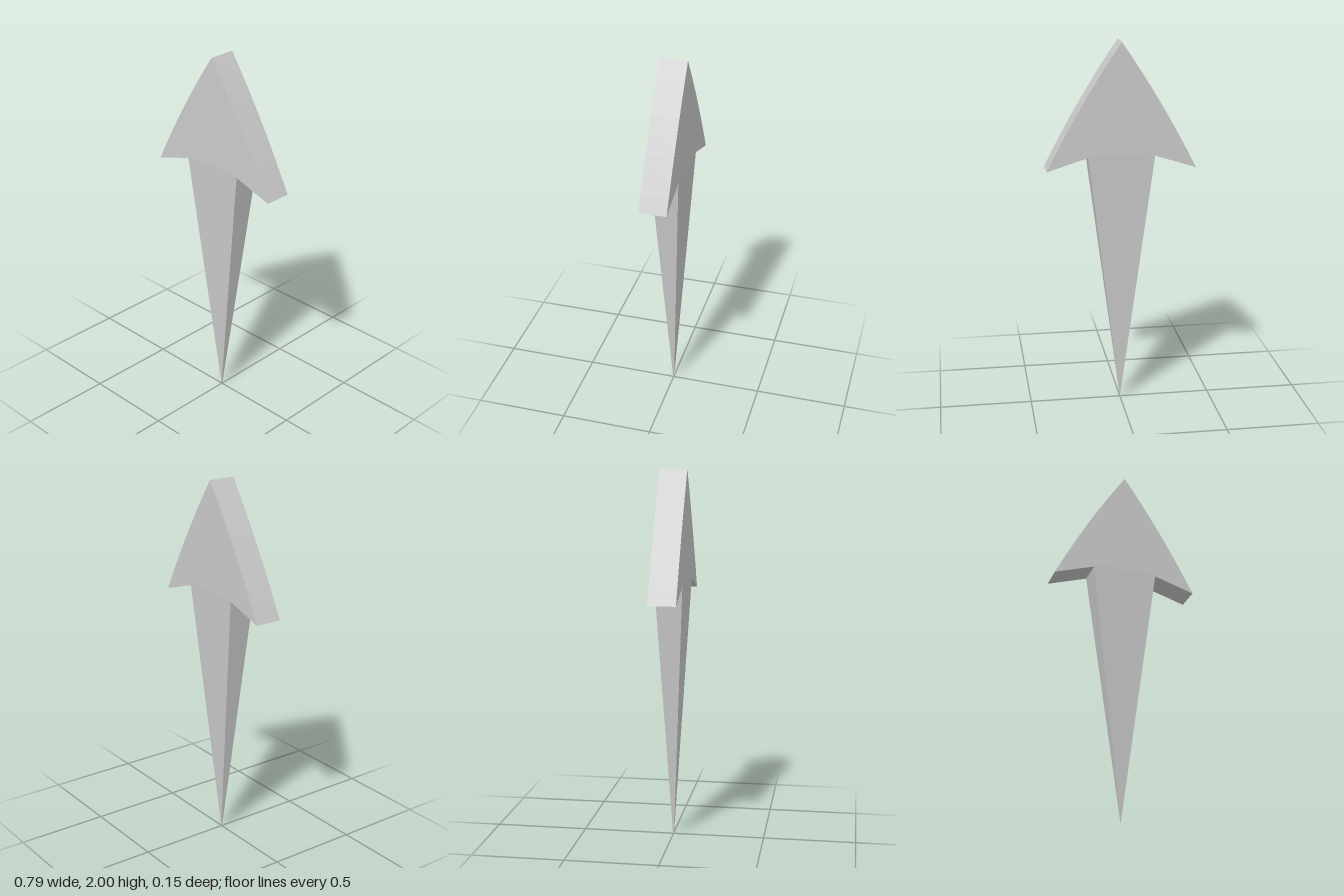
import * as THREE from 'three';

const DEPTH = 0.147; // full thickness
const NECK_X = 0.177, NECK_Y = 1.4, ARCH_Y = 1.46; // where the shaft meets the head

function extrude(shape, name) {
  const geometry = new THREE.ExtrudeGeometry(shape, { depth: DEPTH, bevelEnabled: false, curveSegments: 8 });
  geometry.translate(0, 0, -DEPTH / 2);
  const material = new THREE.MeshStandardMaterial({ color: 0xcccccc, flatShading: true });
  const mesh = new THREE.Mesh(geometry, material);
  mesh.name = name;
  return mesh;
}

export function createModel() {
  const group = new THREE.Group();
  group.name = 'arrow';

  // Barbed head with slightly bowed sides and an arched underside
  const headShape = new THREE.Shape();
  headShape.moveTo(0, 2);
  headShape.quadraticCurveTo(-0.221, 1.68, -0.397, 1.33);
  headShape.lineTo(-NECK_X, NECK_Y);
  headShape.quadraticCurveTo(0, ARCH_Y, NECK_X, NECK_Y);
  headShape.lineTo(0.397, 1.33);
  headShape.quadraticCurveTo(0.221, 1.68, 0, 2);
  group.add(extrude(headShape, 'arrowHead'));

  // Shaft: a wedge narrowing to a point, filling the arch of the head
  const shaftShape = new THREE.Shape();
  shaftShape.moveTo(0, 0);
  shaftShape.lineTo(NECK_X, NECK_Y);
  shaftShape.quadraticCurveTo(0, ARCH_Y, -NECK_X, NECK_Y);
  shaftShape.lineTo(0, 0);
  const shaft = extrude(shaftShape, 'taperedShaft');

  // Thin the shaft towards its point
  const p = shaft.geometry.attributes.position;
  for (let i = 0; i < p.count; i++) {
    p.setZ(i, p.getZ(i) * THREE.MathUtils.clamp(p.getY(i) / NECK_Y, 0.04, 1));
  }
  shaft.geometry.computeVertexNormals();
  group.add(shaft);

  return group;
}
